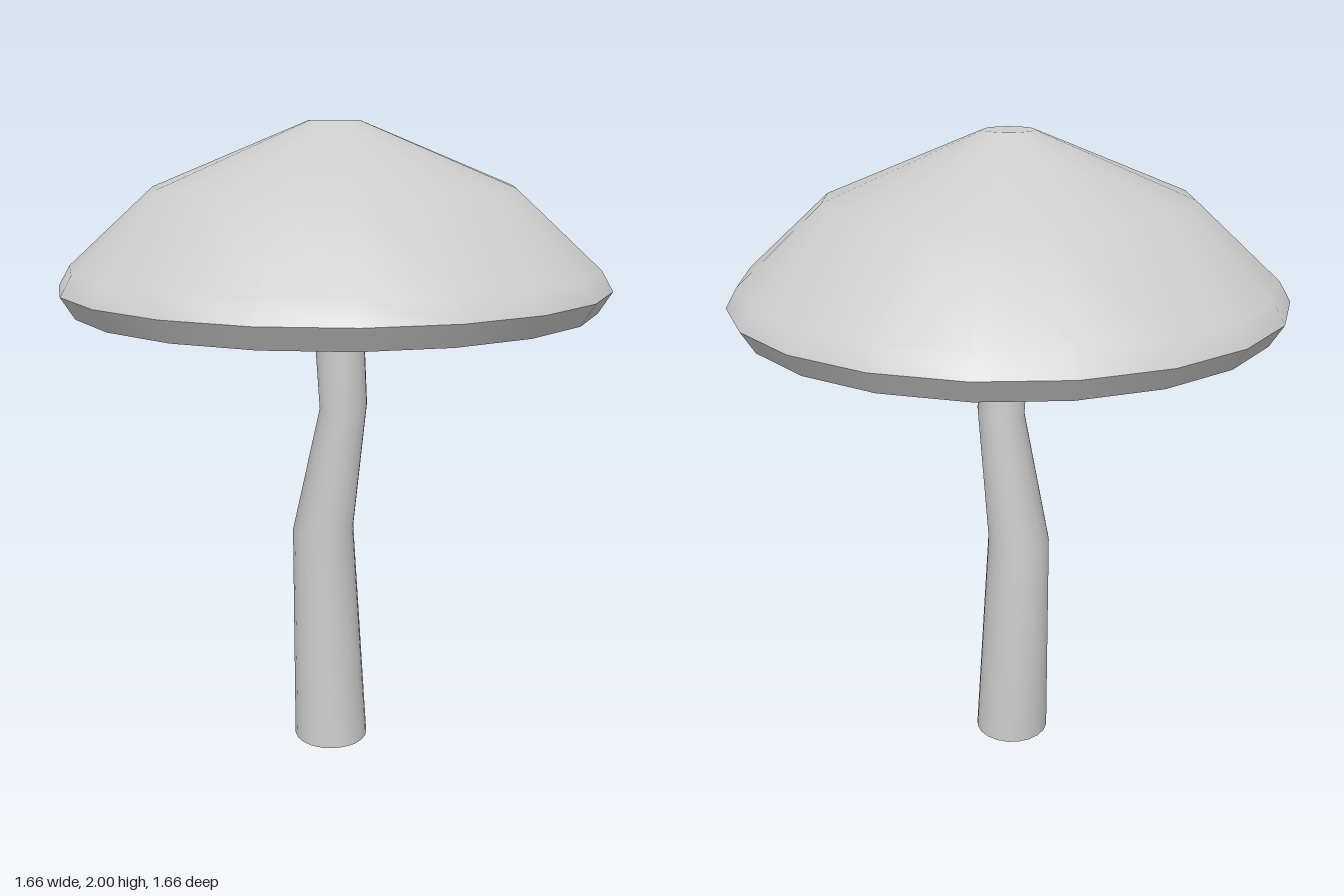
import * as THREE from 'three';
import { mergeGeometries, mergeVertices } from 'three/addons/utils/BufferGeometryUtils.js';

const SIDES = 20;
const material = new THREE.MeshStandardMaterial({ color: 0xcccccc });

// Cap: each band is smooth by itself, with sharp edges between bands
function makeCap() {
  const bands = [
    [[0, 1.455], [0.79, 1.455]],                          // underside
    [[0.79, 1.455], [0.83, 1.52]],                        // rim
    [[0.83, 1.52], [0.795, 1.58], [0.54, 1.81], [0.075, 2]], // dome
    [[0.075, 2], [0, 2]],                                 // flat tip
  ];
  const parts = bands.map((band) =>
    new THREE.LatheGeometry(band.map(([r, y]) => new THREE.Vector2(r, y)), SIDES));
  const cap = new THREE.Mesh(mergeGeometries(parts), material);
  cap.name = 'cap';
  return cap;
}

// Stem: a cylinder whose rings are moved, tilted and scaled to make the bends
function makeStem() {
  const rings = [
    { x: -0.014, y: 0, r: 0.12, tilt: 0 },
    { x: -0.043, y: 0.725, r: 0.098, tilt: 0.07 },
    { x: 0.033, y: 1.14, r: 0.074, tilt: 0.13 },
    { x: 0.012, y: 1.46, r: 0.078, tilt: 0 },
  ];
  let geometry = new THREE.CylinderGeometry(1, 1, 1, SIDES, rings.length - 1);
  geometry.deleteAttribute('uv');
  geometry = mergeVertices(geometry);
  const p = geometry.attributes.position;
  for (let i = 0; i < p.count; i++) {
    const ring = rings[Math.round((p.getY(i) + 0.5) * (rings.length - 1))];
    const dx = p.getX(i) * ring.r;
    p.setXYZ(i, ring.x + dx, ring.y + dx * ring.tilt, p.getZ(i) * ring.r);
  }
  geometry.computeVertexNormals();
  const stem = new THREE.Mesh(geometry, material);
  stem.name = 'stem';
  return stem;
}

export function createModel() {
  const mushroom = new THREE.Group();
  mushroom.name = 'mushroom';
  mushroom.add(makeCap(), makeStem());
  return mushroom;
}
